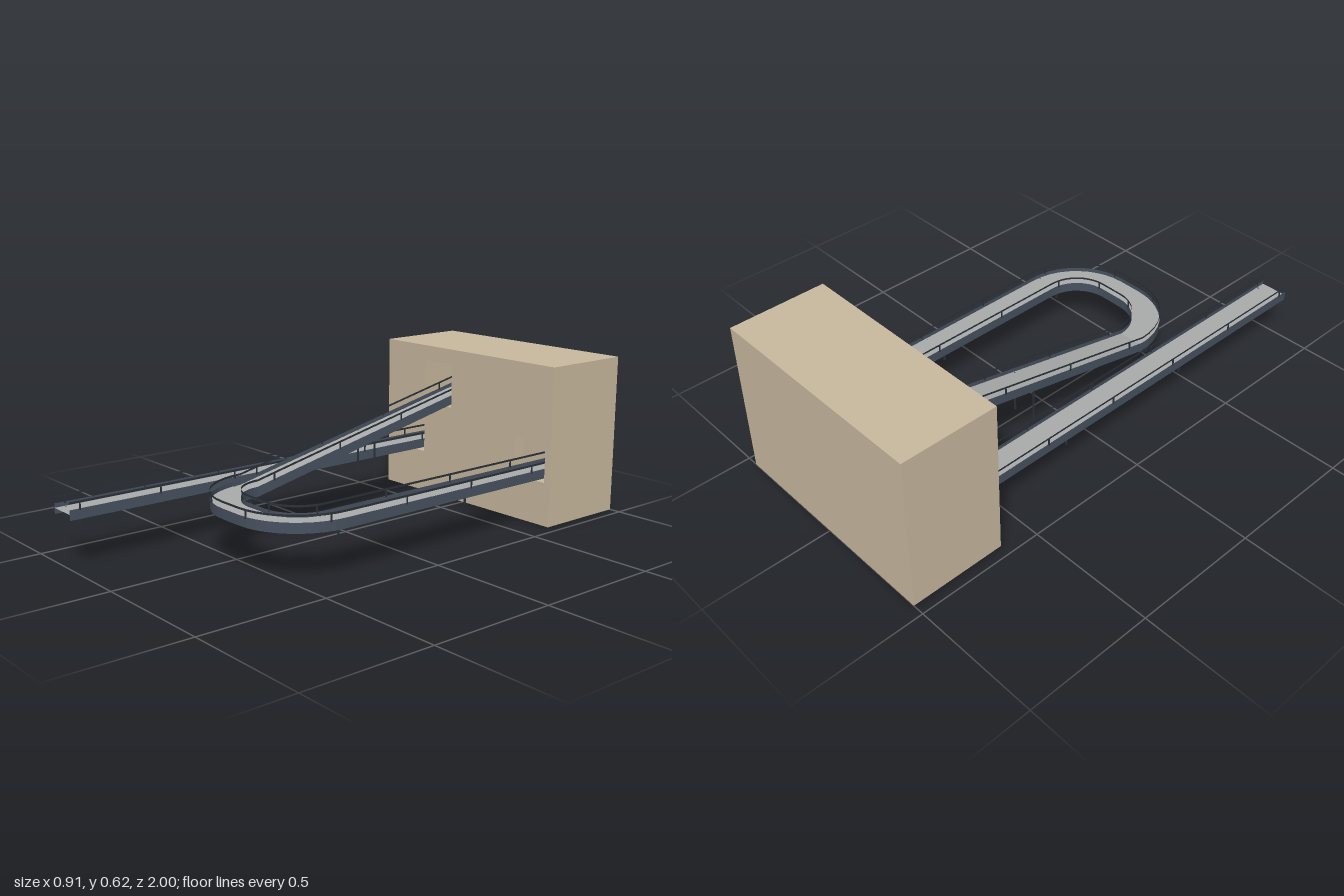
import * as THREE from 'three';

const mat = (name, color, side = THREE.FrontSide) => {
  const m = new THREE.MeshStandardMaterial({ color, side });
  m.name = name;
  return m;
};

const HALF = 0.055;    // half the walkway width
const DECK = 0.2;      // height of the level deck
const INNER_END = -0.82; // where walkways stop inside the building

export function createModel() {
  const root = new THREE.Group();
  root.name = 'elevatedWalkways';
  const beige = mat('beigeWall', 0xc9b99f);
  const grey = mat('greyDeck', 0xaaabab, THREE.DoubleSide);
  const slate = mat('slatePanel', 0x475260, THREE.DoubleSide);
  const dark = mat('darkRail', 0x2b323a, THREE.DoubleSide);

  const add = (parent, name, geo, material, x = 0, y = 0, z = 0) => {
    const mesh = new THREE.Mesh(geo, material);
    mesh.name = name;
    mesh.position.set(x, y, z);
    parent.add(mesh);
    return mesh;
  };
  const box = (parent, name, w, h, d, m, x, y, z) =>
    add(parent, name, new THREE.BoxGeometry(w, h, d), m, x, y, z);

  // Hollow building with three openings in its front wall
  const building = new THREE.Group();
  building.name = 'building';
  root.add(building);
  const W = 0.91, H = 0.618, front = -0.625, back = -1, wall = 0.05, t = 0.03;
  const rect = (path, x0, y0, x1, y1) =>
    path.moveTo(x0, y0).lineTo(x1, y0).lineTo(x1, y1).lineTo(x0, y1).closePath();
  const facade = new THREE.Shape();
  rect(facade, -W / 2, 0, W / 2, H);
  for (const r of [[-0.385, 0.17, -0.233, 0.323], [-0.231, 0.38, -0.078, 0.556], [0.273, 0.17, 0.427, 0.323]]) {
    const hole = new THREE.Path();
    rect(hole, ...r);
    facade.holes.push(hole);
  }
  add(building, 'frontWall', new THREE.ExtrudeGeometry(facade, { depth: wall, bevelEnabled: false }),
    beige, 0, 0, front - wall);
  const depth = front - wall - back, midZ = back + depth / 2;
  box(building, 'backWall', W - 2 * t, H - 2 * t, t, beige, 0, H / 2, back + t / 2);
  for (const s of [-1, 1]) box(building, 'sideWall', t, H, depth, beige, s * (W - t) / 2, H / 2, midZ);
  box(building, 'roof', W - 2 * t, t, depth, beige, 0, H - t / 2, midZ);
  box(building, 'floor', W - 2 * t, t, depth, beige, 0, t / 2, midZ);

  // Flat-faced strip swept along frames between two (side offset, height) corners
  function strip(frames, [offA, yA], [offB, yB]) {
    const pos = [];
    const at = (f, off, y) => [f.p.x + f.n.x * off, f.p.y + y, f.p.z + f.n.z * off];
    for (let i = 0; i < frames.length - 1; i++) {
      const a = at(frames[i], offA, yA), b = at(frames[i], offB, yB);
      const c = at(frames[i + 1], offB, yB), d = at(frames[i + 1], offA, yA);
      pos.push(...a, ...b, ...c, ...a, ...c, ...d);
    }
    const g = new THREE.BufferGeometry();
    g.setAttribute('position', new THREE.Float32BufferAttribute(pos, 3));
    g.computeVertexNormals();
    return g;
  }

  // Frame: centre point and horizontal sideways direction
  const frame = (x, y, z, nx, nz) => ({ p: new THREE.Vector3(x, y, z), n: new THREE.Vector3(nx, 0, nz) });

  // Frame at a given length along the walkway
  function frameAt(frames, s) {
    for (let i = 0; i < frames.length - 1; i++) {
      const a = frames[i], b = frames[i + 1], len = a.p.distanceTo(b.p);
      if (s <= len) {
        return { p: a.p.clone().lerp(b.p, s / len), n: a.n.clone().lerp(b.n, s / len).normalize() };
      }
      s -= len;
    }
    return frames[frames.length - 1];
  }

  // Deck, side panels, handrails and posts
  function walkway(name, frames, posts) {
    const g = new THREE.Group();
    g.name = name;
    root.add(g);
    add(g, 'deck', strip(frames, [HALF, 0], [-HALF, 0]), grey);
    for (const s of [-1, 1]) {
      add(g, 'sidePanel', strip(frames, [s * HALF, -0.022], [s * HALF, 0.016]), slate);
      add(g, 'handrail', strip(frames, [s * HALF, 0.036], [s * HALF, 0.044]), dark);
      for (const d of posts) {
        const f = frameAt(frames, d);
        box(g, 'railPost', 0.004, 0.03, 0.005, dark,
          f.p.x + f.n.x * s * HALF, f.p.y + 0.025, f.p.z + f.n.z * s * HALF);
      }
    }
    return g;
  }

  // Pair of legs reaching down from the deck
  function legs(parent, x, z, top) {
    for (const s of [-1, 1]) {
      box(parent, 'leg', 0.006, top - 0.153, 0.006, dark, x + s * 0.049, (top + 0.153) / 2, z);
    }
  }

  // Straight level walkway
  const straight = walkway('straightWalkway',
    [frame(-0.315, DECK, 1, 1, 0), frame(-0.315, DECK, INNER_END, 1, 0)],
    [0.04, 0.36, 0.68, 1, 1.32, 1.64]);
  for (const z of [0.96, 0.365, -0.23]) legs(straight, -0.315, z, DECK);

  // Walkway sloping down from the upper opening, turning and returning level
  const R = 0.2, xl = 0.052, xr = 0.148, bendZ = 0.335, slope = 0.217;
  const frames = [frame(xl - R, DECK + slope * (bendZ - INNER_END), INNER_END, -1, 0)];
  const N = 10;
  for (const [cx, start] of [[xl, Math.PI], [xr, Math.PI / 2]]) {
    for (let i = 0; i <= N; i++) {
      const a = start - (i / N) * Math.PI / 2;
      const nx = Math.cos(a), nz = Math.sin(a);
      frames.push(frame(cx + R * nx, DECK, bendZ + R * nz, nx, nz));
    }
  }
  frames.push(frame(xr + R, DECK, INNER_END, 1, 0));
  const loop = walkway('rampAndLoopWalkway', frames,
    [0.146, 0.466, 0.786, 1.106, 1.42, 1.62, 1.86, 2.181, 2.496, 2.82]);
  legs(loop, xl - R, -0.23, DECK + slope * (bendZ + 0.23));
  legs(loop, xl - R, 0.365, DECK);
  for (const z of [0.365, -0.23]) legs(loop, xr + R, z, DECK);

  return root;
}
